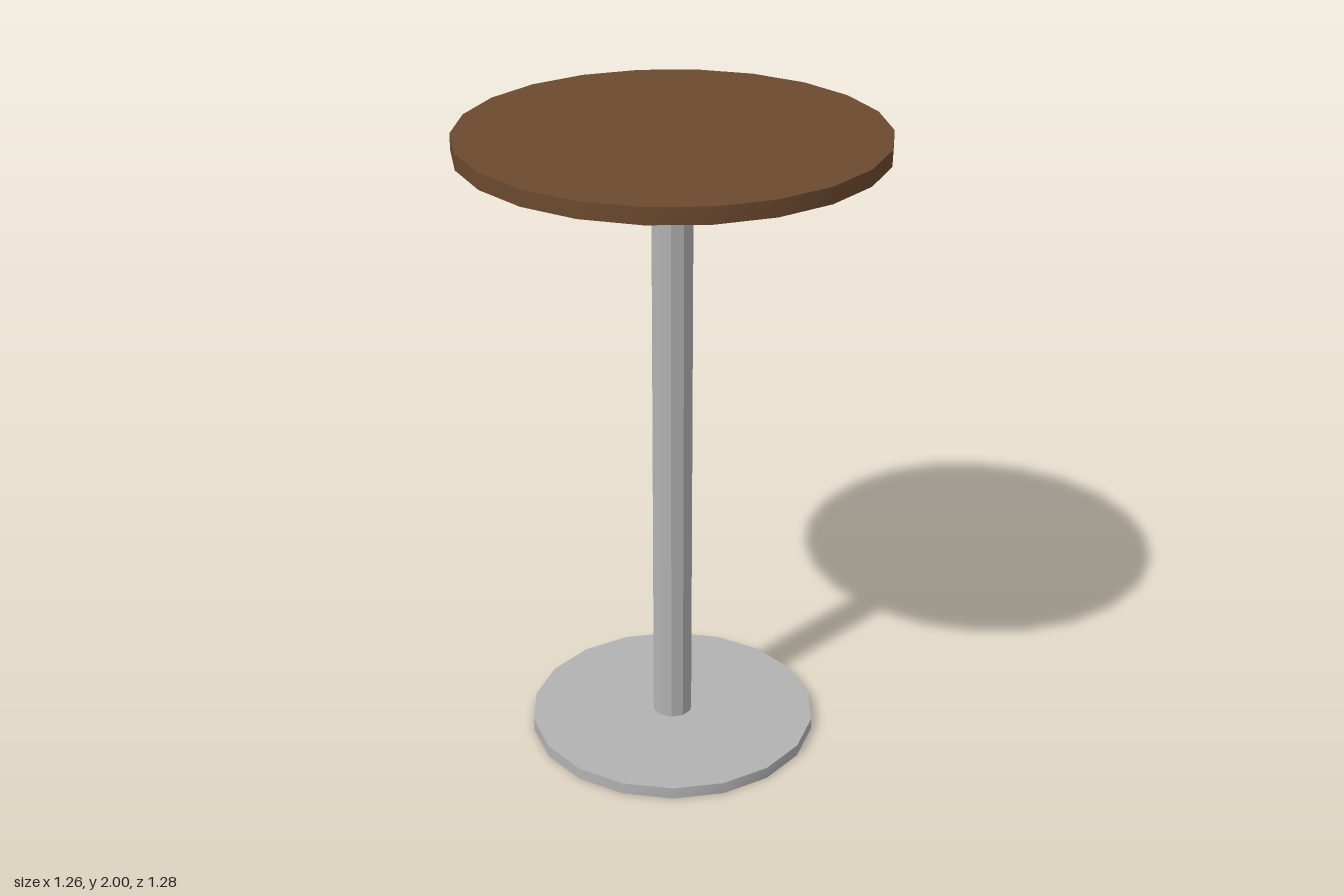
import * as THREE from 'three';
import { toCreasedNormals } from 'three/addons/utils/BufferGeometryUtils.js';

export function createModel() {
  const group = new THREE.Group();

  const wood = new THREE.MeshStandardMaterial({ color: 0x6b492e });
  wood.name = 'brown wood';
  const metal = new THREE.MeshStandardMaterial({ color: 0xb2b2b2 });
  metal.name = 'grey metal';

  // Upright disc or post between two heights; wide angles stay creased
  function addRound(name, radius, bottom, top, sides, material) {
    const height = top - bottom;
    const geometry = new THREE.CylinderGeometry(radius, radius, height, sides);
    geometry.translate(0, bottom + height / 2, 0);
    const mesh = new THREE.Mesh(toCreasedNormals(geometry, Math.PI / 6), material);
    mesh.name = name;
    group.add(mesh);
  }

  addRound('basePlate', 0.458, 0, 0.038, 18, metal);
  addRound('post', 0.0635, 0.038, 1.95, 10, metal);
  addRound('tableTop', 0.639, 1.95, 2, 22, wood);

  return group;
}
